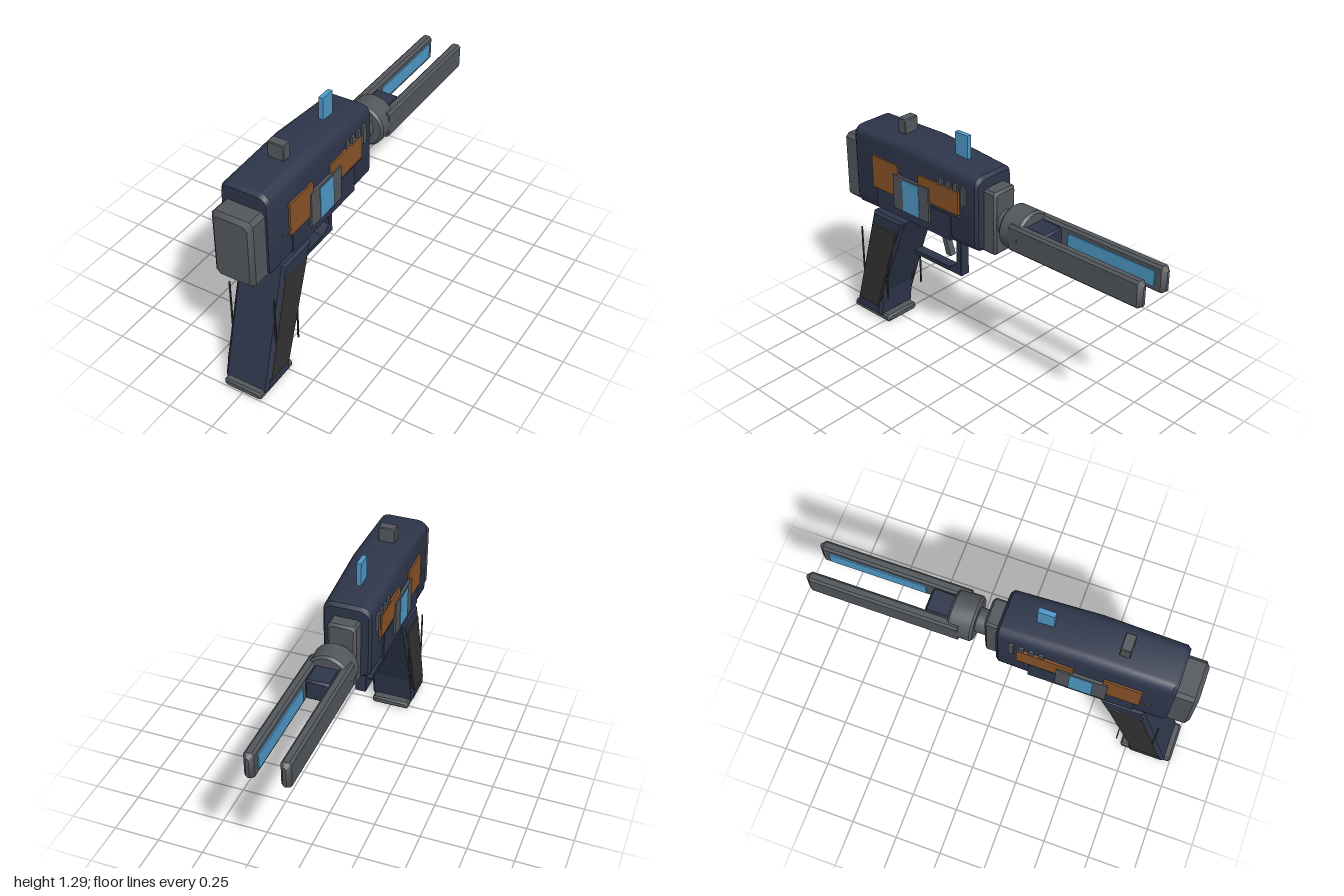
import * as THREE from 'three';
import { toCreasedNormals } from 'three/addons/utils/BufferGeometryUtils.js';

const mat = (name, color) => {
  const m = new THREE.MeshStandardMaterial({ color });
  m.name = name;
  return m;
};

// Rounded-rectangle sections along z: [z, halfWidth, yBottom, yTop, cornerRadius]
function loft(sections, seg = 1, x = 0) {
  const pos = [], idx = [], n = 4 * (seg + 1);
  for (const [z, hw, y0, y1, r] of sections) {
    const corners = [[hw - r, y1 - r], [r - hw, y1 - r], [r - hw, y0 + r], [hw - r, y0 + r]];
    corners.forEach(([cx, cy], q) => {
      for (let k = 0; k <= seg; k++) {
        const a = (q + k / seg) * Math.PI / 2;
        pos.push(x + cx + r * Math.cos(a), cy + r * Math.sin(a), z);
      }
    });
  }
  const last = (sections.length - 1) * n;
  for (let j = 0; j < n; j++) {
    const k = (j + 1) % n;
    for (let i = 0; i < last; i += n) {
      idx.push(i + j, i + k, i + n + j, i + k, i + n + k, i + n + j);
    }
    if (j > 0 && j < n - 1) idx.push(0, j + 1, j, last, last + j, last + j + 1);
  }
  const g = new THREE.BufferGeometry();
  g.setAttribute('position', new THREE.Float32BufferAttribute(pos, 3));
  g.setIndex(idx);
  return toCreasedNormals(g, 0.6);
}

// Block with bevelled edges, given by its extents
const block = (x0, x1, y0, y1, z0, z1, b) => {
  const h = (x1 - x0) / 2;
  return loft([[z0, h - b, y0 + b, y1 - b, b], [z0 + b, h, y0, y1, b],
    [z1 - b, h, y0, y1, b], [z1, h - b, y0 + b, y1 - b, b]], 1, (x0 + x1) / 2);
};

// Plain box given by its extents
const box = (x0, x1, y0, y1, z0, z1) => new THREE.BoxGeometry(x1 - x0, y1 - y0, z1 - z0)
  .translate((x0 + x1) / 2, (y0 + y1) / 2, (z0 + z1) / 2);

// Side profile of [z, y] points, extruded across x
function profile(points, halfWidth, bevel = 0) {
  const s = new THREE.Shape(points.map(([z, y]) => new THREE.Vector2(-z, y)));
  const depth = 2 * (halfWidth - bevel);
  return new THREE.ExtrudeGeometry(s, {
    depth, bevelEnabled: bevel > 0, bevelSize: bevel, bevelThickness: bevel,
    bevelOffset: -bevel, bevelSegments: 1,
  }).translate(0, 0, -depth / 2).rotateY(Math.PI / 2);
}

export function createModel() {
  const group = new THREE.Group();
  const navy = mat('navy shell', 0x2e364b);
  const grey = mat('gunmetal', 0x53575c);
  const dark = mat('grip rubber', 0x333333);
  const orange = mat('copper orange', 0x8a5428);
  const blue = mat('glow blue', 0x5099c9);
  const add = (name, geometry, material) => {
    const m = new THREE.Mesh(geometry, material);
    m.name = name;
    group.add(m);
    return m;
  };

  // Main housing and end blocks
  add('body', loft([
    [0, 0.115, 0.75, 1.135, 0.045], [0.015, 0.127, 0.737, 1.153, 0.05],
    [0.45, 0.135, 0.729, 1.19, 0.055], [0.87, 0.132, 0.72, 1.176, 0.05],
    [0.89, 0.12, 0.732, 1.163, 0.045],
  ], 4), navy);
  add('rearBlock', block(-0.11, 0.11, 0.72, 1.09, 0.86, 1, 0.02), grey);
  add('frontBlock', block(-0.075, 0.075, 0.732, 1.082, -0.075, 0.06, 0.012), grey);

  // Barrel neck and collar
  const neck = add('barrelNeck', new THREE.CylinderGeometry(0.064, 0.064, 0.12, 24), grey);
  neck.rotation.x = Math.PI / 2;
  neck.position.set(0, 0.907, -0.11);
  const ring = [[0, -0.0675], [0.105, -0.0675], [0.117, -0.055], [0.117, 0.055], [0.105, 0.0675], [0, 0.0675]];
  const collar = add('barrelCollar', toCreasedNormals(
    new THREE.LatheGeometry(ring.map(([r, y]) => new THREE.Vector2(r, y)), 24), 0.6), grey);
  collar.rotation.x = Math.PI / 2;
  collar.position.set(0, 0.907, -0.197);
  add('barrelCore', block(-0.066, 0.066, 0.85, 0.964, -0.39, -0.25, 0.01), navy);

  // Twin rails with glowing inner strips
  for (const s of [-1, 1]) {
    const side = s > 0 ? 'left' : 'right';
    add(side + 'Rail', loft([
      [-1, 0.008, 0.85, 0.96, 0.006], [-0.978, 0.026, 0.835, 0.977, 0.012],
      [-0.2, 0.026, 0.835, 0.977, 0.012],
    ], 1, s * 0.089), grey);
    add(side + 'RailGlow', box(s * 0.06 - 0.004, s * 0.06 + 0.004, 0.865, 0.947, -0.945, -0.43), blue);
  }

  // Sights
  add('frontSight', box(-0.0125, 0.0125, 1.16, 1.293, 0.17, 0.255), blue);
  add('rearSight', block(-0.045, 0.045, 1.17, 1.265, 0.582, 0.636, 0.004), grey);

  // Side details, repeated on both flanks: [name, outerX, y0, y1, z0, z1, material]
  const details = [
    ['rearPanel', 0.143, 0.87, 1.05, 0.55, 0.742, orange],
    ['frontPanel', 0.143, 0.922, 1.05, 0.115, 0.4, orange],
    ['lowerPlate', 0.138, 0.755, 0.9, 0.175, 0.72, navy],
    ['seam', 0.139, 0.907, 0.914, 0.105, 0.8, grey],
    ['bracket', 0.15, 0.807, 1, 0.318, 0.577, grey],
    ['glowWindow', 0.153, 0.812, 0.99, 0.387, 0.505, blue],
  ];
  for (let i = 0; i < 4; i++) {
    const z = 0.085 + i * 0.051;
    details.push(['vent', 0.1415, 0.985, 1.087, z - 0.013, z + 0.013, grey]);
  }
  for (const s of [-1, 1]) {
    for (const [name, x, y0, y1, z0, z1, m] of details) {
      const a = s * x, b = s * (x - 0.025);
      add(name, box(Math.min(a, b), Math.max(a, b), y0, y1, z0, z1), m);
    }
  }

  // Grip with rubber side panels and base plate
  add('grip', profile([[0.78, 0.702], [0.545, 0.702], [0.745, 0.19], [0.765, 0.03], [0.968, 0.03]], 0.124, 0.014), navy);
  const panel = [[0.787, 0.625], [0.593, 0.625], [0.738, 0.2], [0.776, 0.092], [0.938, 0.092]];
  for (const s of [-1, 1]) {
    const p = add('gripPanel', profile(panel, 0.015, 0.006), dark);
    p.position.x = s * 0.115;
    for (const [z, y0, y1] of [[0.875, 0.3, 0.57], [0.688, 0.18, 0.45]]) {
      add('gripRib', box(s * 0.126 - 0.004, s * 0.126 + 0.004, y0, y1, z - 0.003, z + 0.003), dark);
    }
  }
  add('gripBase', block(-0.108, 0.108, 0, 0.042, 0.715, 1, 0.01), grey);

  // Trigger and guard
  add('triggerGuard', profile([
    [0.245, 0.71], [0.21, 0.71], [0.21, 0.48], [0.56, 0.48], [0.56, 0.506], [0.295, 0.506], [0.245, 0.545],
  ], 0.03, 0.003), navy);
  add('trigger', profile([[0.373, 0.702], [0.342, 0.702], [0.296, 0.565], [0.33, 0.565]], 0.018), grey);

  return group;
}
